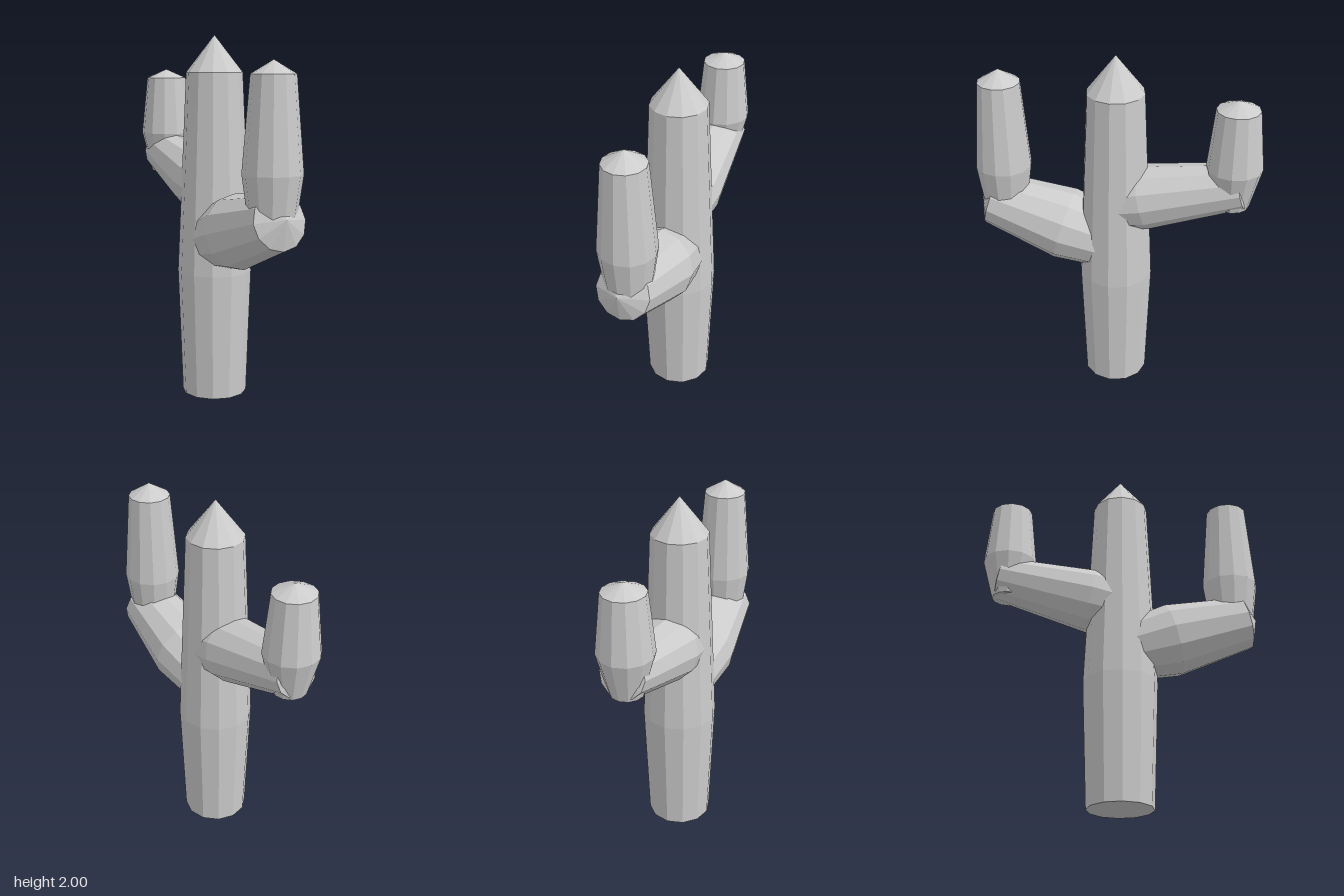
import * as THREE from 'three';

const SIDES = 12;
const material = new THREE.MeshStandardMaterial({ color: 0xcccccc, flatShading: true });

// A faceted stem: rings of [radius, distance] along an axis from base towards tip
function stem(name, base, tip, rings) {
  const profile = rings.map(([r, d]) => new THREE.Vector2(r, d));
  const mesh = new THREE.Mesh(new THREE.LatheGeometry(profile, SIDES), material);
  const axis = new THREE.Vector3(...tip).sub(new THREE.Vector3(...base)).normalize();
  mesh.quaternion.setFromUnitVectors(new THREE.Vector3(0, 1, 0), axis);
  mesh.position.set(...base);
  mesh.name = name;
  return mesh;
}

// An arm: a sloping branch out of the trunk and an upright stem on its end
function arm(name, branch, upright) {
  const group = new THREE.Group();
  group.name = name;
  group.add(
    stem(name + 'Branch', branch.base, branch.tip, branch.rings),
    stem(name + 'Upright', upright.base, [upright.base[0], 2, upright.base[2]], upright.rings)
  );
  return group;
}

export function createModel() {
  const cactus = new THREE.Group();
  cactus.name = 'cactus';

  // Trunk, bulging below the middle, with a pointed top
  cactus.add(stem('trunk', [0, 0, 0], [0, 2, 0],
    [[0, 0.01], [0.18, 0], [0.205, 0.7], [0.155, 1.8], [0, 2]]));

  // Lower, thicker arm at the front
  cactus.add(arm('frontArm',
    {
      base: [0, 0.885, 0.01], tip: [0, 1.1, 0.77],
      rings: [[0, 0], [0.165, 0], [0.205, 0.29], [0.15, 0.72], [0, 0.79]],
    },
    {
      base: [0, 1.06, 0.63],
      rings: [[0, 0], [0.12, 0], [0.155, 0.25], [0.115, 0.74], [0, 0.81]],
    }));

  // Higher, slimmer arm at the back
  cactus.add(arm('backArm',
    {
      base: [0, 1.168, -0.05], tip: [0, 1.33, -0.71],
      rings: [[0, 0], [0.17, 0], [0.18, 0.115], [0.125, 0.65], [0, 0.68]],
    },
    {
      base: [0, 1.2, -0.635],
      rings: [[0, 0], [0.09, 0], [0.15, 0.23], [0.115, 0.56], [0, 0.61]],
    }));

  return cactus;
}
